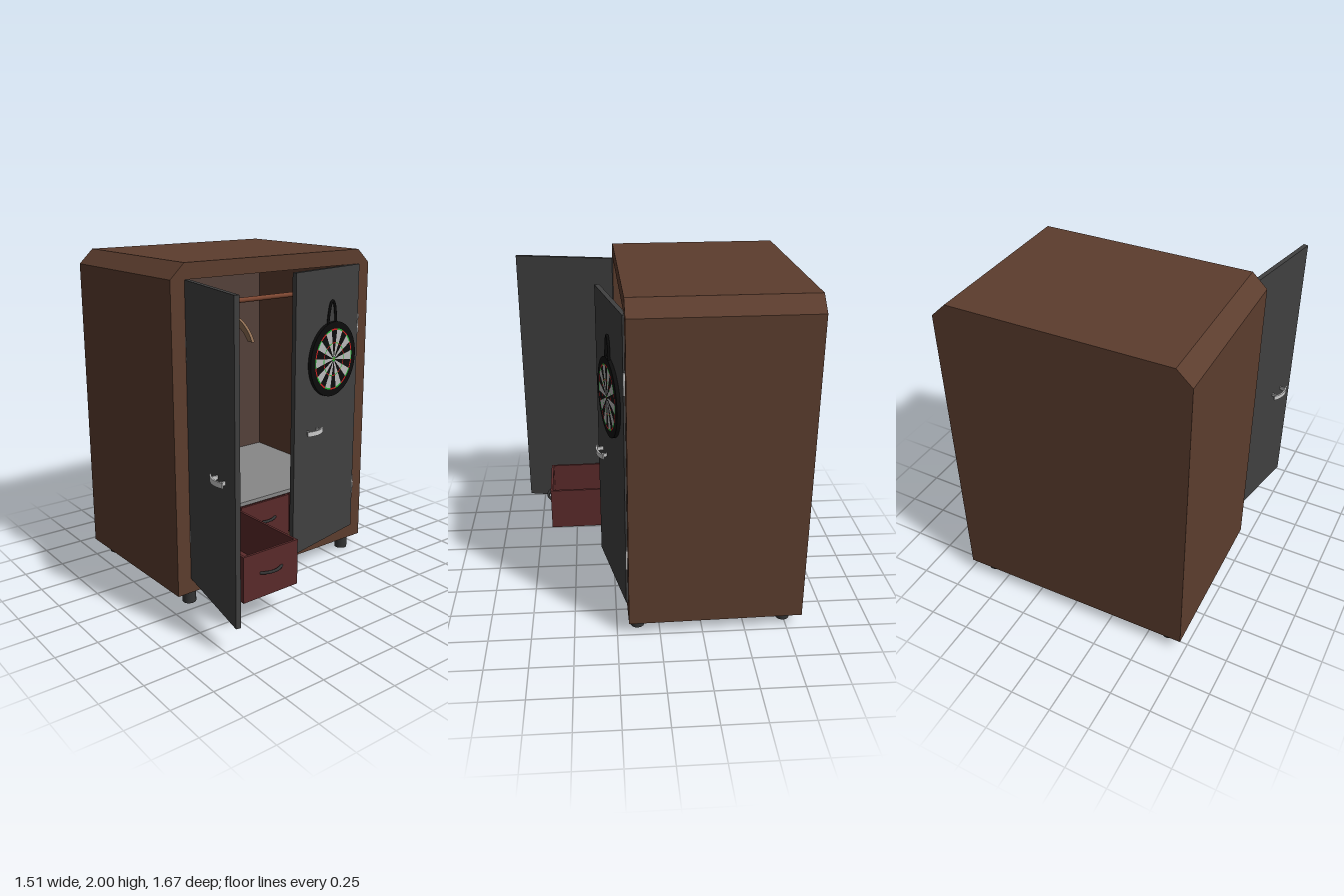
import * as THREE from 'three';

const mat = (color, side = THREE.FrontSide) => new THREE.MeshStandardMaterial({ color, side });
const brown = mat(0x5c3d2e), lining = mat(0x54403a), doorGrey = mat(0x404040), red = mat(0x5a2a2a);
const metal = mat(0xcccccc), dark = mat(0x333333), black = mat(0x0c0c0c), shelfGrey = mat(0x888888);
const rodWood = mat(0x7a4530), hangerWood = mat(0x8a6a50), white = mat(0xb8b8b8);
const dartRed = mat(0xd02020), dartGreen = mat(0x20b030);

function add(parent, name, geometry, material, x = 0, y = 0, z = 0) {
  const mesh = new THREE.Mesh(geometry, material);
  mesh.name = name;
  mesh.position.set(x, y, z);
  parent.add(mesh);
  return mesh;
}
function group(parent, name, x = 0, y = 0, z = 0) {
  const g = new THREE.Group();
  g.name = name;
  g.position.set(x, y, z);
  parent.add(g);
  return g;
}
const box = (w, h, d) => new THREE.BoxGeometry(w, h, d);
const v = (x, y, z) => new THREE.Vector3(x, y, z);
const extrude = (shape, depth) => new THREE.ExtrudeGeometry(shape, { depth, bevelEnabled: false, curveSegments: 12 });

// Chamfered outline of the cabinet
function outline() {
  return new THREE.Shape([[-0.73, 0.08], [0.73, 0.08], [0.73, 1.915], [0.64, 2], [-0.64, 2], [-0.73, 1.915]]
    .map(([x, y]) => new THREE.Vector2(x, y)));
}

function buildCabinet(parent) {
  const shell = outline();
  shell.holes.push(new THREE.Path([[-0.64, 0.17], [-0.64, 1.91], [0.64, 1.91], [0.64, 0.17]]
    .map(([x, y]) => new THREE.Vector2(x, y))));
  add(parent, 'cabinetShell', extrude(shell, 0.98), brown, 0, 0, -0.47);
  add(parent, 'cabinetBack', extrude(outline(), 0.04), brown, 0, 0, -0.51);
  add(parent, 'backLining', box(1.28, 1.74, 0.006), lining, 0, 1.04, -0.467);
  add(parent, 'shelf', box(1.28, 0.025, 0.88), shelfGrey, 0, 0.488, -0.03);
  for (const x of [-0.62, 0.62]) for (const z of [-0.42, 0.455])
    add(parent, 'foot', new THREE.CylinderGeometry(0.041, 0.041, 0.08, 20), dark, x, 0.04, z);
}

// Open-topped drawer whose front face lies at z = 0
function buildDrawer(parent, x, z) {
  const g = group(parent, 'drawer', x, 0.19, z);
  const w = 0.385, h = 0.275, d = 0.8, t = 0.015;
  add(g, 'drawerFront', box(w, h, t), red, 0, h / 2, -t / 2);
  add(g, 'drawerBack', box(w, h, t), red, 0, h / 2, -d + t / 2);
  add(g, 'drawerBottom', box(w - 2 * t, t, d - 2 * t), red, 0, t / 2, -d / 2);
  for (const s of [-1, 1])
    add(g, 'drawerSide', box(t, h, d - 2 * t), red, s * (w - t) / 2, h / 2, -d / 2);
  const bow = new THREE.QuadraticBezierCurve3(v(-0.078, 0, -0.003), v(0, 0, 0.052), v(0.078, 0, -0.003));
  add(g, 'drawerHandle', new THREE.TubeGeometry(bow, 16, 0.009, 8), dark, 0, 0.148, 0);
}

// Hanger lying along z, with its hook around the origin
function buildHanger(parent, x, y, z) {
  const g = group(parent, 'hanger', x, y, z);
  const s = new THREE.Shape();
  s.moveTo(-0.24, -0.215);
  s.quadraticCurveTo(-0.17, -0.085, 0, -0.07);
  s.quadraticCurveTo(0.17, -0.085, 0.24, -0.215);
  s.lineTo(0.195, -0.215);
  s.quadraticCurveTo(0.13, -0.125, 0, -0.115);
  s.quadraticCurveTo(-0.13, -0.125, -0.195, -0.215);
  s.closePath();
  add(g, 'hangerBody', extrude(s, 0.02), hangerWood, -0.01, 0, 0).rotation.y = Math.PI / 2;
  const hook = new THREE.CatmullRomCurve3([v(0, -0.01, -0.022), v(0, 0.012, -0.016), v(0, 0.022, 0),
    v(0, 0.012, 0.018), v(0, -0.018, 0.018), v(0, -0.04, 0), v(0, -0.075, 0)]);
  add(g, 'hangerHook', new THREE.TubeGeometry(hook, 24, 0.003, 6), rodWood);
}

// Door hinged at its origin, reaching along side * x, outside facing +z
function buildDoor(parent, name, side, x, z, angle) {
  const g = group(parent, name, x, 0, z);
  g.rotation.y = angle;
  add(g, 'doorPanel', box(0.63, 1.74, 0.028), doorGrey, side * 0.315, 1.04, 0);
  for (const y of [0.463, 1.538])
    add(g, 'hinge', new THREE.CylinderGeometry(0.008, 0.008, 0.125, 10), metal, -side * 0.002, y, 0.008);

  const handle = group(g, 'doorHandle', side * 0.46, 0.94, 0.014);
  const s = new THREE.Shape();
  s.moveTo(-0.076, -0.024);
  s.quadraticCurveTo(0, -0.062, 0.076, -0.024);
  s.lineTo(0.076, -0.032);
  s.quadraticCurveTo(0, -0.074, -0.076, -0.032);
  s.closePath();
  add(handle, 'handleGrip', extrude(s, 0.03), metal, 0, -0.015, 0).rotation.x = -Math.PI / 2;
  for (const px of [-0.048, 0.048])
    add(handle, 'handlePost', box(0.009, 0.022, 0.038), metal, px, 0, 0.018);
  return g;
}

function buildDartboard(parent, x, y, z) {
  const g = group(parent, 'dartboard', x, y, z);
  add(g, 'boardDisc', new THREE.CylinderGeometry(0.23, 0.23, 0.02, 60), black).rotation.x = Math.PI / 2;
  // Twenty sectors, each with two single beds, a triple and a double
  const step = Math.PI / 10;
  for (let i = 0; i < 20; i++) {
    const start = Math.PI / 2 + (i - 0.5) * step, even = i % 2 === 0;
    const bed = (name, r0, r1, m) => add(g, name, new THREE.RingGeometry(r0, r1, 4, 1, start, step), m, 0, 0, 0.0115);
    if (!even) {
      bed('innerBed', 0.014, 0.098, white);
      bed('outerBed', 0.104, 0.179, white);
    }
    bed('tripleBed', 0.098, 0.104, even ? dartRed : dartGreen);
    bed('doubleBed', 0.179, 0.188, even ? dartRed : dartGreen);
  }
  add(g, 'outerBull', new THREE.RingGeometry(0.006, 0.014, 20), dartGreen, 0, 0, 0.012);
  add(g, 'innerBull', new THREE.CircleGeometry(0.006, 16), dartRed, 0, 0, 0.012);
  // Hanging strap
  const strap = new THREE.CatmullRomCurve3([v(-0.045, 0.21, 0), v(-0.032, 0.29, 0), v(-0.015, 0.345, 0),
    v(0, 0.357, 0), v(0.015, 0.345, 0), v(0.03, 0.29, 0), v(0.036, 0.21, 0)]);
  add(g, 'strap', new THREE.TubeGeometry(strap, 30, 0.008, 8), black, -0.01, 0, 0);
}

export function createModel() {
  const model = new THREE.Group();
  model.name = 'wardrobe';
  const cabinet = group(model, 'cabinet', 0.014, 0, -0.314);
  cabinet.rotation.y = 0.0195;
  buildCabinet(cabinet);

  // Left-hand drawer stands open
  [[-0.408, 0.965], [0, 0.41], [0.408, 0.41]].forEach(([x, z]) => buildDrawer(cabinet, x, z));

  // Rail and hangers
  add(cabinet, 'rail', new THREE.CylinderGeometry(0.016, 0.016, 1.28, 16), rodWood, 0, 1.695, 0.12).rotation.z = Math.PI / 2;
  for (const x of [-0.445, -0.245, -0.06]) buildHanger(cabinet, x, 1.695, 0.12);

  // Doors, one ajar and one wide open
  const ajar = buildDoor(model, 'leftDoor', -1, 0.665, 0.18, 0.217);
  buildDoor(model, 'rightDoor', 1, -0.602, 0.21, -1.764);
  buildDartboard(ajar, -0.28, 1.36, 0.026);
  return model;
}
